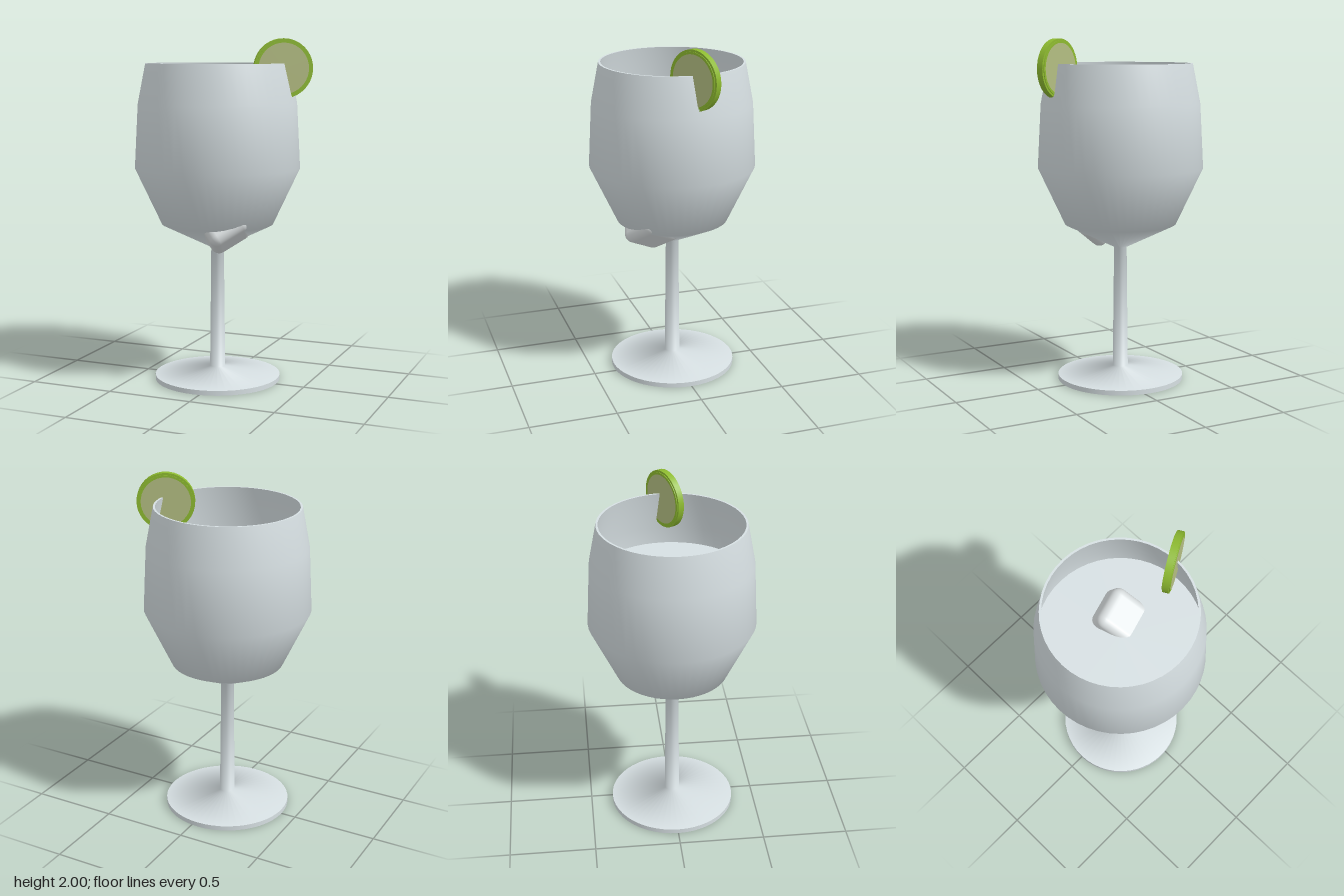
import * as THREE from 'three';
import { RoundedBoxGeometry } from 'three/addons/geometries/RoundedBoxGeometry.js';

export function createModel() {
  const mat = (name, color) => {
    const m = new THREE.MeshStandardMaterial({ color });
    m.name = name;
    return m;
  };
  const glass = mat('clear glass', 0xd6dfe2);
  const ice = mat('ice', 0xdadfe0);
  const peel = mat('lime peel', 0x8dba30);
  const flesh = mat('lime flesh', 0xb3bd82);

  const model = new THREE.Group();
  model.name = 'drinkGlass';

  const add = (parent, name, geometry, material) => {
    const mesh = new THREE.Mesh(geometry, material);
    mesh.name = name;
    parent.add(mesh);
    return mesh;
  };
  const lathe = (pts) =>
    new THREE.LatheGeometry(pts.map(([r, y]) => new THREE.Vector2(r, y)), 48);

  // Glass: each lathe is smooth, edges between them stay sharp
  const goblet = new THREE.Group();
  goblet.name = 'goblet';
  goblet.position.x = -0.04;
  model.add(goblet);

  add(goblet, 'footUnderside', lathe([[0, 0], [0.37, 0]]), glass);
  add(goblet, 'footEdge', lathe([[0.37, 0], [0.37, 0.028]]), glass);
  add(goblet, 'outerSurface', lathe([
    [0.37, 0.028], [0.045, 0.075], [0.037, 0.79], [0.325, 0.93],
    [0.48, 1.26], [0.46, 1.63], [0.415, 1.86],
  ]), glass);
  add(goblet, 'rim', lathe([[0.415, 1.86], [0.403, 1.86]]), glass);
  add(goblet, 'innerSurface', lathe([
    [0.403, 1.86], [0.448, 1.63], [0.468, 1.26], [0.315, 0.94], [0, 0.81],
  ]), glass);

  // Drink surface
  const drink = add(goblet, 'drinkSurface', new THREE.CircleGeometry(0.453, 48), glass);
  drink.rotation.x = -Math.PI / 2;
  drink.position.y = 1.53;

  // Ice cubes: one breaks the drink surface, one sits low in the bowl
  const cube = new RoundedBoxGeometry(0.25, 0.25, 0.25, 4, 0.05);
  const topIce = add(model, 'upperIceCube', cube, ice);
  topIce.rotation.set(0.52, 0.29, 0, 'YXZ');
  topIce.position.set(0.035, 1.46, -0.1);

  const lowIce = add(model, 'lowerIceCube', cube, ice);
  const u = new THREE.Vector3(0.72, 0.5, -0.48).normalize();
  const w = u.clone().cross(new THREE.Vector3(0.33, 0.45, 0.83)).normalize();
  const v = w.clone().cross(u);
  lowIce.quaternion.setFromRotationMatrix(new THREE.Matrix4().makeBasis(u, v, w));
  lowIce.position.set(0.055, 0.955, 0.155);

  // Lime slice on the rim
  const lime = new THREE.Group();
  lime.name = 'limeSlice';
  lime.position.set(0.36, 1.833, 0);
  lime.rotation.y = 0.5;
  model.add(lime);
  add(lime, 'limePeel', new THREE.CylinderGeometry(0.167, 0.167, 0.036, 40), peel)
    .rotation.x = Math.PI / 2;
  for (const side of [1, -1]) {
    const lip = add(lime, 'limeLip', new THREE.CylinderGeometry(0.155, 0.155, 0.004, 40), peel);
    lip.rotation.x = Math.PI / 2;
    lip.position.z = side * 0.02;
    const face = add(lime, 'limeFlesh', new THREE.CircleGeometry(0.143, 40), flesh);
    face.position.z = side * 0.0235;
    if (side < 0) face.rotation.y = Math.PI;
  }

  return model;
}
